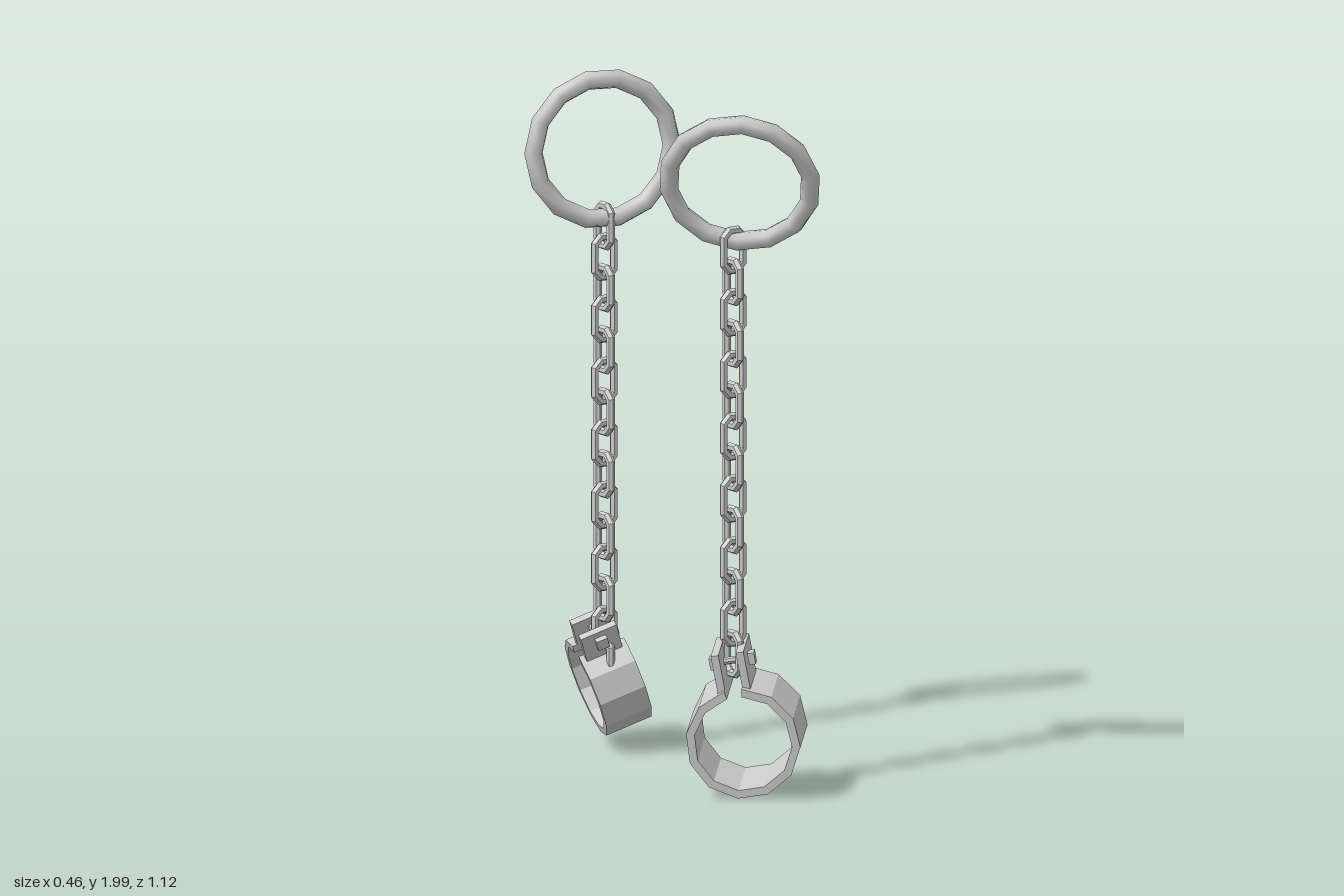
import * as THREE from 'three';

const flat = new THREE.MeshStandardMaterial({ color: 0xcccccc, flatShading: true });
const smooth = new THREE.MeshStandardMaterial({ color: 0xcccccc });
const PITCH = 0.0895;

function add(parent, name, geometry, material = flat) {
  const mesh = new THREE.Mesh(geometry, material);
  mesh.name = name;
  parent.add(mesh);
  return mesh;
}

// Chamfered chain link: an eight-sided torus pulled apart vertically
function linkGeometry() {
  const g = new THREE.TorusGeometry(0.0352, 0.0125, 6, 8).rotateZ(Math.PI / 8);
  const p = g.attributes.position;
  for (let i = 0; i < p.count; i++) p.setY(i, p.getY(i) + Math.sign(p.getY(i)) * 0.025);
  return g;
}

function makeChain({ x, z, top, count, turned }) {
  const chain = new THREE.Group();
  chain.name = 'chain';
  const link = linkGeometry();
  for (let i = 0; i < count; i++) {
    const mesh = add(chain, 'chainLink', link);
    mesh.position.set(x, top - i * PITCH, z);
    if ((i % 2 === 0) === turned) mesh.rotation.y = Math.PI / 2;
  }
  return chain;
}

function makeRing({ center, normal }) {
  const ring = add(new THREE.Group(), 'wallRing', new THREE.TorusGeometry(0.204, 0.027, 8, 14), smooth);
  ring.position.set(...center);
  ring.quaternion.setFromUnitVectors(new THREE.Vector3(0, 0, 1), new THREE.Vector3(...normal).normalize());
  return ring;
}

// Split cuff: local z is the bore, local y points to the lugs, local x is the bolt
function makeCuff({ center, axis, up, radius, width, wall, gap, lugLength, lugHeight, boltHeight, boltLength }) {
  const cuff = new THREE.Group();
  cuff.name = 'cuff';

  const sides = 11;
  const outer = [], inner = [];
  const start = Math.asin(gap / radius);
  for (let i = 0; i <= sides; i++) {
    const a = start + (i / sides) * (2 * Math.PI - 2 * start);
    outer.push(new THREE.Vector2(Math.sin(a) * radius, Math.cos(a) * radius));
    inner.push(new THREE.Vector2(Math.sin(a) * (radius - wall), Math.cos(a) * (radius - wall)));
  }
  const band = new THREE.ExtrudeGeometry(new THREE.Shape([...outer, ...inner.reverse()]), {
    depth: width, bevelEnabled: false,
  });
  add(cuff, 'cuffBand', band.translate(0, 0, -width / 2));

  // Lugs and bolt heads on both sides of the split
  const thickness = 0.022;
  for (const s of [-1, 1]) {
    const height = lugHeight + wall;
    const lug = add(cuff, 'cuffLug', new THREE.BoxGeometry(thickness, height, lugLength));
    lug.position.set(s * (gap + thickness / 2), radius - wall + height / 2, 0);
    const head = add(cuff, 'boltHead', new THREE.BoxGeometry(0.025, 0.034, 0.034));
    head.position.set(s * (boltLength / 2 - 0.0125), boltHeight, 0);
  }
  const bolt = add(cuff, 'bolt', new THREE.CylinderGeometry(0.011, 0.011, boltLength - 0.01, 8).rotateZ(Math.PI / 2));
  bolt.position.y = boltHeight;

  // Orient the cuff from its bore axis and lug direction
  const vz = new THREE.Vector3(...axis).normalize();
  const vx = new THREE.Vector3(...up).cross(vz).normalize();
  const vy = vz.clone().cross(vx);
  cuff.quaternion.setFromRotationMatrix(new THREE.Matrix4().makeBasis(vx, vy, vz));
  cuff.position.set(...center);
  return cuff;
}

function makeShackle(name, ring, chain, cuff) {
  const group = new THREE.Group();
  group.name = name;
  group.add(makeRing(ring), makeChain(chain), makeCuff(cuff));
  return group;
}

export function createModel() {
  const model = new THREE.Group();
  model.name = 'hangingShackles';
  model.add(
    makeShackle('frontShackle',
      { center: [-0.02, 1.775, 0.378], normal: [0.6, 0.41, -0.69] },
      { x: 0.008, z: 0.305, top: 1.565, count: 14, turned: false },
      {
        center: [0.042, 0.173, 0.322], axis: [0.64, 0.11, -0.76], up: [-0.035, 0.22, -0.017],
        radius: 0.163, width: 0.21, wall: 0.024, gap: 0.025,
        lugLength: 0.17, lugHeight: 0.1, boltHeight: 0.218, boltLength: 0.13,
      }),
    makeShackle('backShackle',
      { center: [-0.005, 1.75, -0.325], normal: [-0.303, 0, 0.953] },
      { x: 0.008, z: -0.335, top: 1.525, count: 15, turned: true },
      {
        center: [0.07, 0.2, -0.405], axis: [0.87, 0.35, 0.34], up: [-0.33, 0.87, 0.36],
        radius: 0.147, width: 0.14, wall: 0.022, gap: 0.024,
        lugLength: 0.11, lugHeight: 0.075, boltHeight: 0.187, boltLength: 0.125,
      }),
  );
  return model;
}
